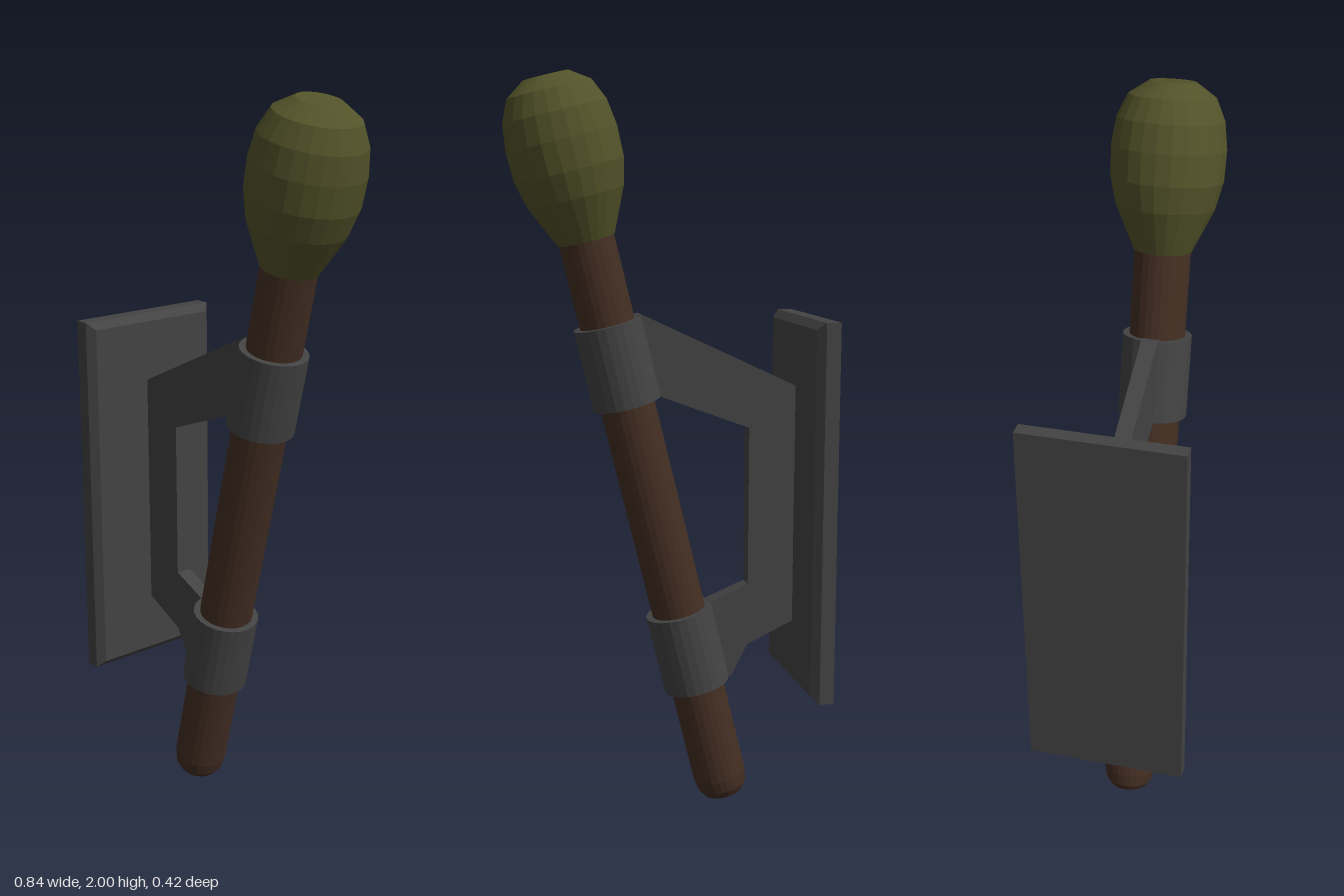
import * as THREE from 'three';

const SIDES = 24;
const TILT = 0.24;

const material = (color) =>
  new THREE.MeshStandardMaterial({ color, flatShading: true });

const metal = material(0x434343);
const wood = material(0x432e22);
const olive = material(0x53532a);

function part(name, geometry, mat) {
  const mesh = new THREE.Mesh(geometry, mat);
  mesh.name = name;
  return mesh;
}

// Turned part from [radius, height] pairs, listed upwards
function turned(name, profile, mat) {
  const points = profile.map(([r, h]) => new THREE.Vector2(r, h));
  return part(name, new THREE.LatheGeometry(points, SIDES), mat);
}

// Wall plate: a box whose front rim is chamfered
function wallPlate() {
  const w = 0.06, chamfer = 0.02;
  const geometry = new THREE.BoxGeometry(w, 1.035, 0.424, 2, 1, 1);
  const pos = geometry.attributes.position;
  for (let i = 0; i < pos.count; i++) {
    const x = pos.getX(i);
    if (Math.abs(x) < 1e-4) pos.setX(i, w / 2 - chamfer);
    if (x > 0.01) {
      pos.setY(i, pos.getY(i) - Math.sign(pos.getY(i)) * chamfer);
      pos.setZ(i, pos.getZ(i) - Math.sign(pos.getZ(i)) * chamfer);
    }
  }
  const plate = part('wallPlate', geometry, metal);
  plate.position.set(-0.395, 0.842, 0);
  return plate;
}

// Flat C-shaped bracket joining the plate to both collars
function bracket() {
  const outline = [
    [-0.375, 1.167], [0.065, 1.375], [0.085, 1.37], [0.03, 1.16], [-0.235, 1.06],
    [-0.235, 0.622], [-0.12, 0.575], [-0.1, 0.57], [-0.16, 0.355], [-0.19, 0.36],
    [-0.235, 0.447], [-0.375, 0.512],
  ].map(([x, y]) => new THREE.Vector2(x, y));
  const depth = 0.044;
  const geometry = new THREE.ExtrudeGeometry(new THREE.Shape(outline), {
    depth, bevelEnabled: false,
  });
  geometry.translate(0, 0, -depth / 2);
  return part('bracket', geometry, metal);
}

// Handle, head and collars, built upright and then leaned sideways
function torch() {
  const group = new THREE.Group();
  group.name = 'torch';

  group.add(turned('handle', [
    [0, 0], [0.055, 0], [0.068, 0.02], [0.074, 0.055], [0.074, 1.65],
  ], wood));

  group.add(turned('head', [
    [0, 1.6], [0.076, 1.6], [0.097, 1.645], [0.129, 1.715], [0.146, 1.785],
    [0.148, 1.865], [0.138, 1.935], [0.112, 1.992], [0.06, 2.027], [0, 2.027],
  ], olive));

  for (const [name, y] of [['lowerCollar', 0.333], ['upperCollar', 1.153]]) {
    const collar = turned(name, [
      [0.072, 0], [0.092, 0], [0.092, 0.222], [0.072, 0.222], [0.072, 0],
    ], metal);
    collar.position.y = y;
    group.add(collar);
  }

  group.position.set(-0.175, 0.015, 0);
  group.rotation.z = -TILT;
  return group;
}

export function createModel() {
  const model = new THREE.Group();
  model.name = 'wallTorch';
  model.add(wallPlate(), bracket(), torch());
  return model;
}
